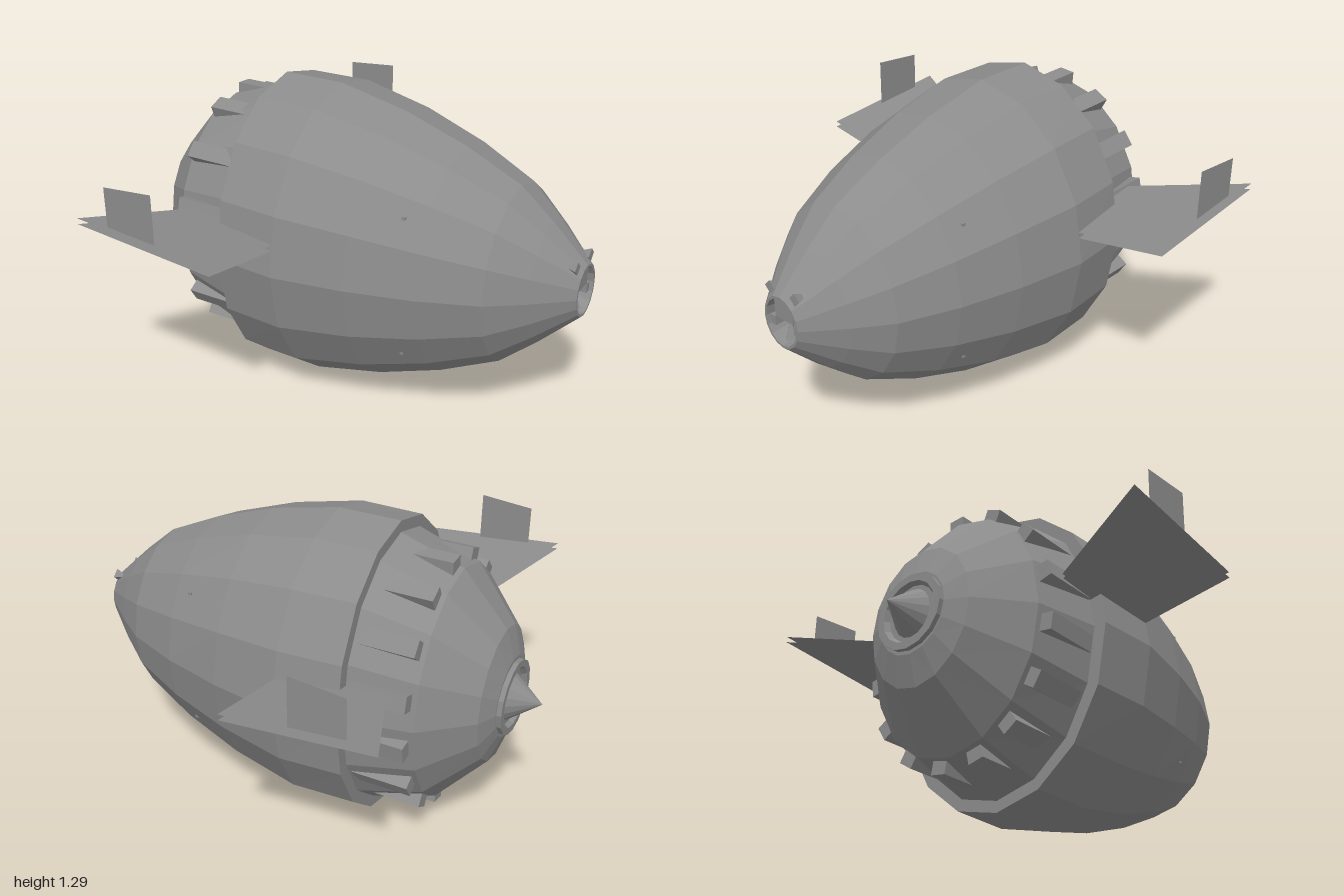
import * as THREE from 'three';

const CY = 0.645; // height of the long axis

export function createModel() {
  const group = new THREE.Group();
  const grey = new THREE.MeshStandardMaterial({ color: 0x8c8c8c, side: THREE.DoubleSide });
  grey.name = 'hull grey';

  const add = (name, geometry) => {
    const mesh = new THREE.Mesh(geometry, grey);
    mesh.name = name;
    group.add(mesh);
    return mesh;
  };

  // Faceted elliptical loft along x from [x, ry, rz] sections
  const loft = (sections, sides = 16) => {
    const pos = [];
    const point = ([x, ry, rz], j) => {
      const t = (j / sides) * Math.PI * 2;
      return [x, CY + ry * Math.cos(t), rz * Math.sin(t)];
    };
    for (let i = 0; i < sections.length - 1; i++) {
      for (let j = 0; j < sides; j++) {
        const a = point(sections[i], j), b = point(sections[i + 1], j);
        const c = point(sections[i + 1], j + 1), d = point(sections[i], j + 1);
        if (sections[i][1] > 0) pos.push(...a, ...d, ...b);
        if (sections[i + 1][1] > 0) pos.push(...d, ...c, ...b);
      }
    }
    const g = new THREE.BufferGeometry();
    g.setAttribute('position', new THREE.Float32BufferAttribute(pos, 3));
    g.computeVertexNormals();
    return g;
  };

  // Flat four-cornered plate
  const quad = (a, b, c, d) => {
    const g = new THREE.BufferGeometry();
    g.setAttribute('position', new THREE.Float32BufferAttribute([...a, ...b, ...c, ...a, ...c, ...d], 3));
    g.computeVertexNormals();
    return g;
  };

  const box = (name, w, h, d, x, y, z) => {
    const mesh = add(name, new THREE.BoxGeometry(w, h, d));
    mesh.position.set(x, y, z);
    return mesh;
  };

  // Main hull with the hollow nose opening
  add('frontHull', loft([
    [-0.37, 0.58, 0.46], [-0.37, 0.645, 0.525], [-0.1, 0.645, 0.545], [0.2, 0.58, 0.492],
    [0.47, 0.487, 0.418], [0.71, 0.375, 0.322], [0.85, 0.255, 0.22], [1, 0.11, 0.095],
    [1, 0.1, 0.085], [0.92, 0.09, 0.075], [0.92, 0, 0],
  ]));
  add('rearHull', loft([
    [-0.87, 0, 0], [-0.87, 0.17, 0.165], [-0.83, 0.29, 0.25], [-0.64, 0.505, 0.42], [-0.36, 0.6, 0.475],
  ]));

  // Tail ring and spike
  add('tailRing', loft([
    [-0.87, 0.115, 0.115], [-0.89, 0.125, 0.13], [-0.89, 0.155, 0.16], [-0.855, 0.155, 0.16],
  ]));
  add('tailSpike', loft([[-1, 0, 0], [-0.87, 0.1, 0.09]]));

  // Belt of blocks sunk into the rear hull
  for (const deg of [94, 69, 42, 16, -8, -32, -54, -76, -99, -122, -147, -171, 166, 143, 118]) {
    const t = THREE.MathUtils.degToRad(deg);
    const block = box('beltBlock', 0.24, 0.07, 0.14, -0.5, CY + 0.485 * Math.sin(t), 0.4 * Math.cos(t));
    block.rotation.x = -t;
  }

  // Double-sheet wings with an upright fin near each tip
  const wingY = (x, z) => 0.845 - 0.087 * (x + 0.1) + 0.17 * (z - 0.915);
  for (const side of [1, -1]) {
    const at = (x, z, dy) => [x, wingY(x, z) + dy, z * side];
    for (const dy of [0, -0.025]) {
      add(dy ? 'lowerWingSheet' : 'upperWingSheet', quad(
        at(-0.73, 0.915, dy), at(-0.1, 0.915, dy), at(-0.1, 0.42, dy), at(-0.525, 0.42, dy)));
    }
    const z = 0.89;
    add('wingFin', quad(at(-0.6, z, 0), at(-0.37, z, 0), [-0.37, 1.07, z * side], [-0.6, 1.05, z * side]));

    // Small nose studs and side blocks inside the opening
    const stud = add('noseStud', new THREE.ConeGeometry(0.028, 0.06, 4).toNonIndexed());
    stud.geometry.computeVertexNormals();
    stud.position.set(0.955, 0.765, 0.07 * side);
    stud.rotation.z = Math.PI / 2;
    box('noseSideBlock', 0.06, 0.04, 0.025, 0.955, 0.625, 0.065 * side);

    // Tiny side pins
    for (const dy of [0.3, -0.29]) box('sidePin', 0.015, 0.012, 0.012, 0.39, CY + dy, 0.35 * side);
  }
  box('noseBlock', 0.07, 0.09, 0.1, 0.95, 0.695, 0);

  // Pointed piece at the bottom of the opening
  const tongue = add('noseTongue', new THREE.ConeGeometry(0.03, 0.08, 4).toNonIndexed());
  tongue.geometry.computeVertexNormals();
  tongue.position.set(0.955, 0.6, 0);

  return group;
}
